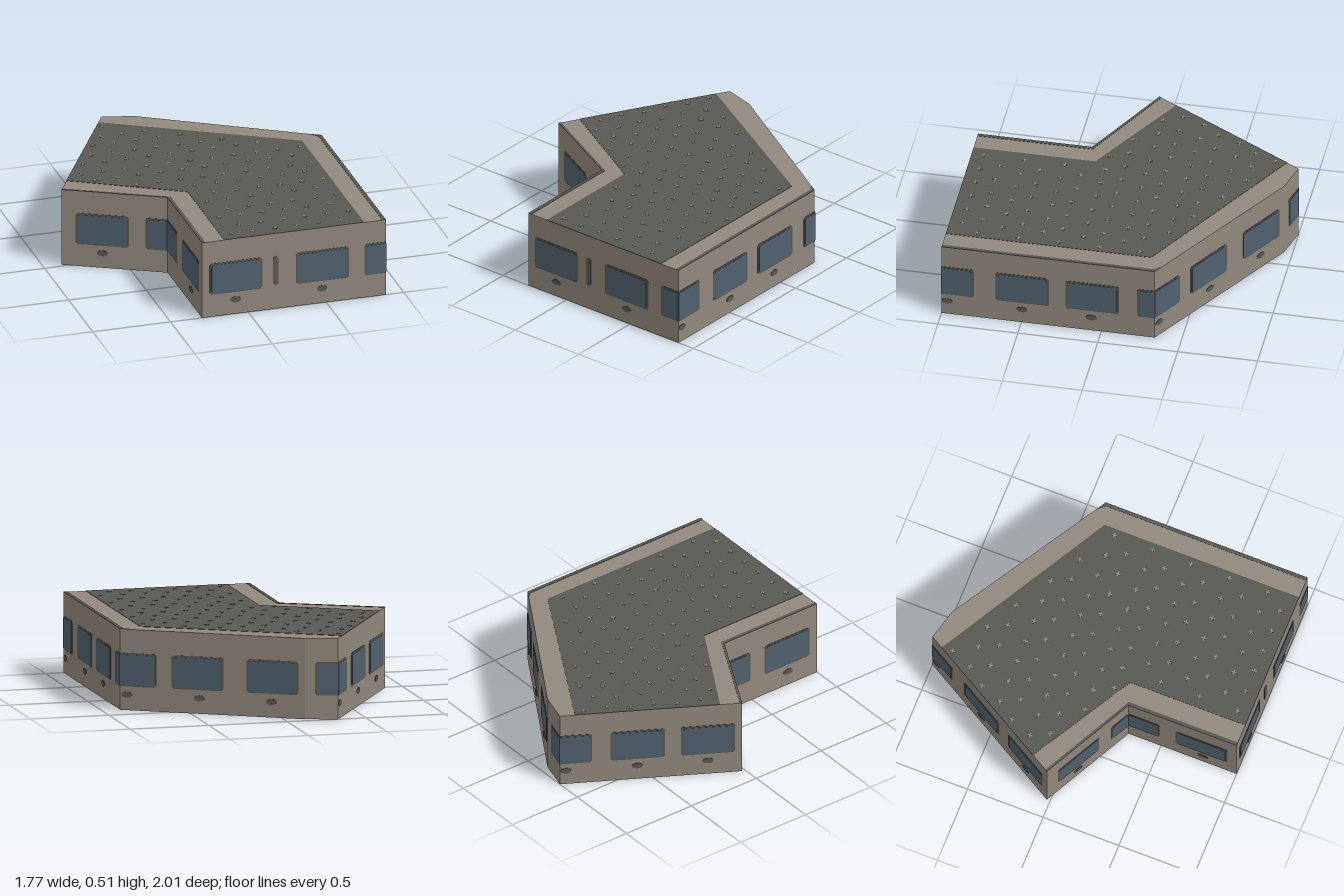
import * as THREE from 'three';

const HEIGHT = 0.504;

const wallMat = new THREE.MeshStandardMaterial({ name: 'taupe wall', color: 0x91887d, side: THREE.DoubleSide });
const darkMat = new THREE.MeshStandardMaterial({ name: 'dark grey', color: 0x585953 });
const glassMat = new THREE.MeshStandardMaterial({ name: 'blue glass', color: 0x50616f });

// Building plan as [x, z], counter-clockwise from the front right corner
const plan = [[-0.298, 1], [0.884, 1], [0.884, -0.333], [-0.127, -0.947],
  [-0.323, -1], [-0.884, -0.021], [-0.298, 0.286]];

// Per wall: window spans, vent centres and slits, measured along the wall (9 = runs to the corner)
const walls = [
  { name: 'frontWall', windows: [[0.05, 0.387], [0.605, 0.945], [1.045, 9]], vents: [0.217, 0.772], slits: [0.474] },
  { name: 'leftWall', windows: [[0, 0.203], [0.337, 0.674], [0.775, 1.112], [1.225, 9]], vents: [0.035, 0.503, 0.936] },
  { name: 'backLeftWall', windows: [[0, 0.228], [0.33, 0.66], [0.81, 1.14]], vents: [0.044, 0.506, 0.967] },
  { name: 'chamferWall', windows: [[0.061, 9]], vents: [] },
  { name: 'backRightWall', windows: [[0, 0.2], [0.313, 0.65], [0.749, 1.085]], vents: [0.035, 0.48, 0.917] },
  { name: 'innerWingWall', windows: [[0.088, 0.42], [0.525, 9]], vents: [0.254] },
  { name: 'innerSideWall', windows: [[0, 0.2], [0.31, 0.655]], vents: [0.49] },
];

// Thin plate straddling its own plane, so it shows on both sides of a wall or roof
function plate(name, shape, thickness, material) {
  const geo = new THREE.ExtrudeGeometry(shape, { depth: thickness, bevelEnabled: false, curveSegments: 8 });
  geo.translate(0, 0, -thickness / 2);
  const mesh = new THREE.Mesh(geo, material);
  mesh.name = name;
  return mesh;
}

const polygon = (pts) => new THREE.Shape(pts.map(([x, y]) => new THREE.Vector2(x, y)));

// Rectangle with clipped corners on the left (cl) and right (cr)
function clippedRect(x0, x1, y0, y1, cl, cr) {
  return polygon([[x0 + cl, y0], [x1 - cr, y0], [x1, y0 + cr], [x1, y1 - cr],
    [x1 - cr, y1], [x0 + cl, y1], [x0, y1 - cl], [x0, y0 + cl]]);
}

function buildWall([x0, z0], [x1, z1], spec) {
  const wall = new THREE.Group();
  wall.name = spec.name;
  const length = Math.hypot(x1 - x0, z1 - z0);
  wall.position.set(x0, 0, z0);
  wall.rotation.y = Math.atan2(z0 - z1, x1 - x0);

  const panel = new THREE.Mesh(new THREE.PlaneGeometry(length, HEIGHT), wallMat);
  panel.name = 'wallPanel';
  panel.position.set(length / 2, HEIGHT / 2, 0);
  wall.add(panel);

  // Windows; those cut by a corner have no frame on that end
  for (const [a, end] of spec.windows) {
    const b = Math.min(end, length);
    const openL = a === 0, openR = b === length;
    const cl = openL ? 0.0001 : 0.012, cr = openR ? 0.0001 : 0.012;
    wall.add(plate('windowFrame', clippedRect(a, b, 0.148, 0.357, cl, cr), 0.004, darkMat));
    wall.add(plate('windowGlass',
      clippedRect(a + (openL ? 0 : 0.012), b - (openR ? 0 : 0.015), 0.154, 0.346, cl, cr), 0.008, glassMat));
  }
  // Vents under the windows
  for (const v of spec.vents) {
    const oval = new THREE.Shape();
    oval.absellipse(v, 0.097, 0.034, 0.019, 0, Math.PI * 2);
    wall.add(plate('vent', oval, 0.006, darkMat));
  }
  // Narrow slits
  for (const s of spec.slits ?? []) {
    wall.add(plate('slit', clippedRect(s - 0.018, s + 0.018, 0.16, 0.352, 0.012, 0.012), 0.006, darkMat));
  }
  return wall;
}

// Even-odd test against a plan polygon
function inside(px, pz, pts) {
  let hit = false;
  pts.forEach(([ax, az], i) => {
    const [bx, bz] = pts[(i + 1) % pts.length];
    if ((az > pz) !== (bz > pz) && px < ax + (bx - ax) * (pz - az) / (bz - az)) hit = !hit;
  });
  return hit;
}

function buildRoof() {
  const roof = new THREE.Group();
  roof.name = 'roof';
  roof.position.y = HEIGHT;
  roof.rotation.x = -Math.PI / 2; // local y = -z
  const flat = (pts) => polygon(pts.map(([x, z]) => [x, -z]));

  // Light border slab
  const slab = new THREE.Mesh(new THREE.ShapeGeometry(flat(plan)), wallMat);
  slab.name = 'roofBorder';
  roof.add(slab);

  // Dark central field
  const field = [[-0.155, 1], [0.745, 1], [0.745, -0.285], [-0.369, -0.92], [-0.817, -0.14], [-0.155, 0.24]];
  roof.add(plate('roofField', flat(field), 0.004, darkMat));

  // Dark edge strips
  const strips = [
    [[0.862, 1], [0.884, 1], [0.884, -0.333], [0.83, -0.362], [0.862, -0.32]],
    [[-0.298, 1], [-0.276, 1], [-0.276, 0.28], [-0.298, 0.286]],
    [[-0.884, -0.021], [-0.298, 0.286], [-0.276, 0.28], [-0.876, -0.034]],
  ];
  for (const s of strips) roof.add(plate('roofEdgeStrip', flat(s), 0.004, darkMat));

  // Staggered rows of small crosses
  const r = 0.015, w = 0.004;
  const cross = polygon([[-r, -w], [-w, -w], [-w, -r], [w, -r], [w, -w], [r, -w],
    [r, w], [w, w], [w, r], [-w, r], [-w, w], [-r, w]]);
  const geo = new THREE.ExtrudeGeometry(cross, { depth: 0.004, bevelEnabled: false });
  for (let row = 0; row < 15; row++) {
    const odd = row % 2;
    const z = -0.85 + Math.floor(row / 2) * 0.253 + odd * 0.14;
    for (let i = -6; i <= 5; i++) {
      const x = i * 0.1405 + (odd ? 0 : 0.055);
      if (!inside(x - 0.03, z, field) || !inside(x + 0.03, z, field)) continue;
      const mark = new THREE.Mesh(geo, wallMat);
      mark.name = 'roofCross';
      mark.position.set(x, -z, 0);
      roof.add(mark);
    }
  }
  return roof;
}

export function createModel() {
  const model = new THREE.Group();
  model.name = 'angledBuilding';
  walls.forEach((spec, i) => model.add(buildWall(plan[i], plan[(i + 1) % plan.length], spec)));
  model.add(buildRoof());
  return model;
}
